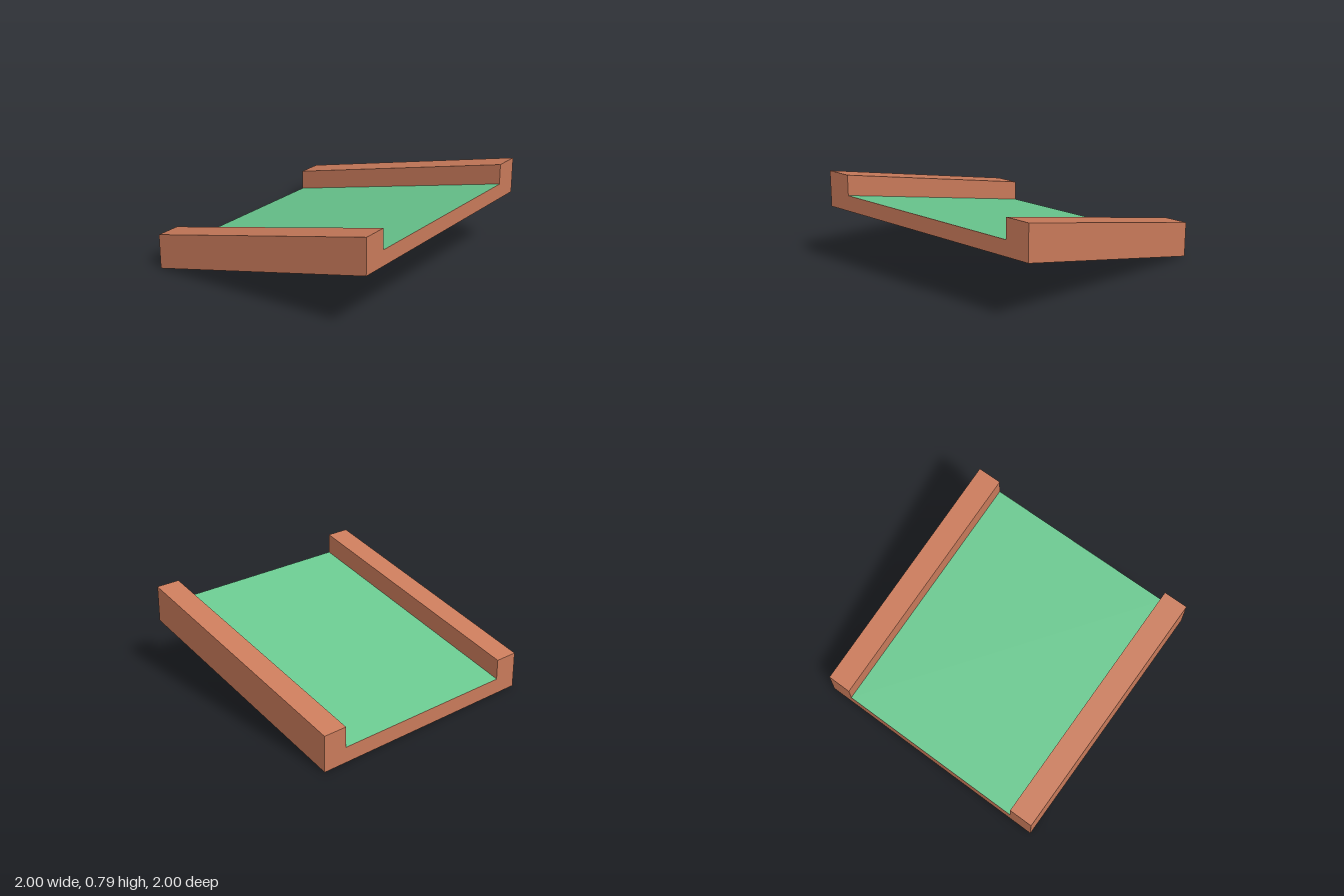
import * as THREE from 'three';

const wood = new THREE.MeshStandardMaterial({ name: 'wood', color: 0xca7b5b });
const grass = new THREE.MeshStandardMaterial({ name: 'grass', color: 0x6ac88f });

const WALL = 0.29, FLOOR = 0.125, INNER = 0.8;

// Raise each vertex with z, so the ends stay vertical while the track climbs to the front
function slope(geometry) {
  const p = geometry.attributes.position;
  for (let i = 0; i < p.count; i++) p.setY(i, p.getY(i) + 0.25 * (p.getZ(i) + 1));
  geometry.computeVertexNormals();
  return geometry;
}

function addPart(group, name, geometry, material) {
  const mesh = new THREE.Mesh(slope(geometry), material);
  mesh.name = name;
  group.add(mesh);
}

export function createModel() {
  const group = new THREE.Group();
  group.name = 'slopedTrack';

  // Wooden channel: a U-shaped section with a wall on each side
  const section = new THREE.Shape([
    [-1, 0], [1, 0], [1, WALL], [INNER, WALL],
    [INNER, FLOOR], [-INNER, FLOOR], [-INNER, WALL], [-1, WALL],
  ].map(([x, y]) => new THREE.Vector2(x, y)));
  const channel = new THREE.ExtrudeGeometry(section, { depth: 2, bevelEnabled: false });
  channel.translate(0, 0, -1);
  addPart(group, 'woodenChannel', channel, wood);

  // Turf laid on the floor between the walls
  const turf = new THREE.PlaneGeometry(2 * INNER, 2);
  turf.rotateX(-Math.PI / 2).translate(0, FLOOR + 0.002, 0);
  addPart(group, 'turf', turf, grass);

  return group;
}
